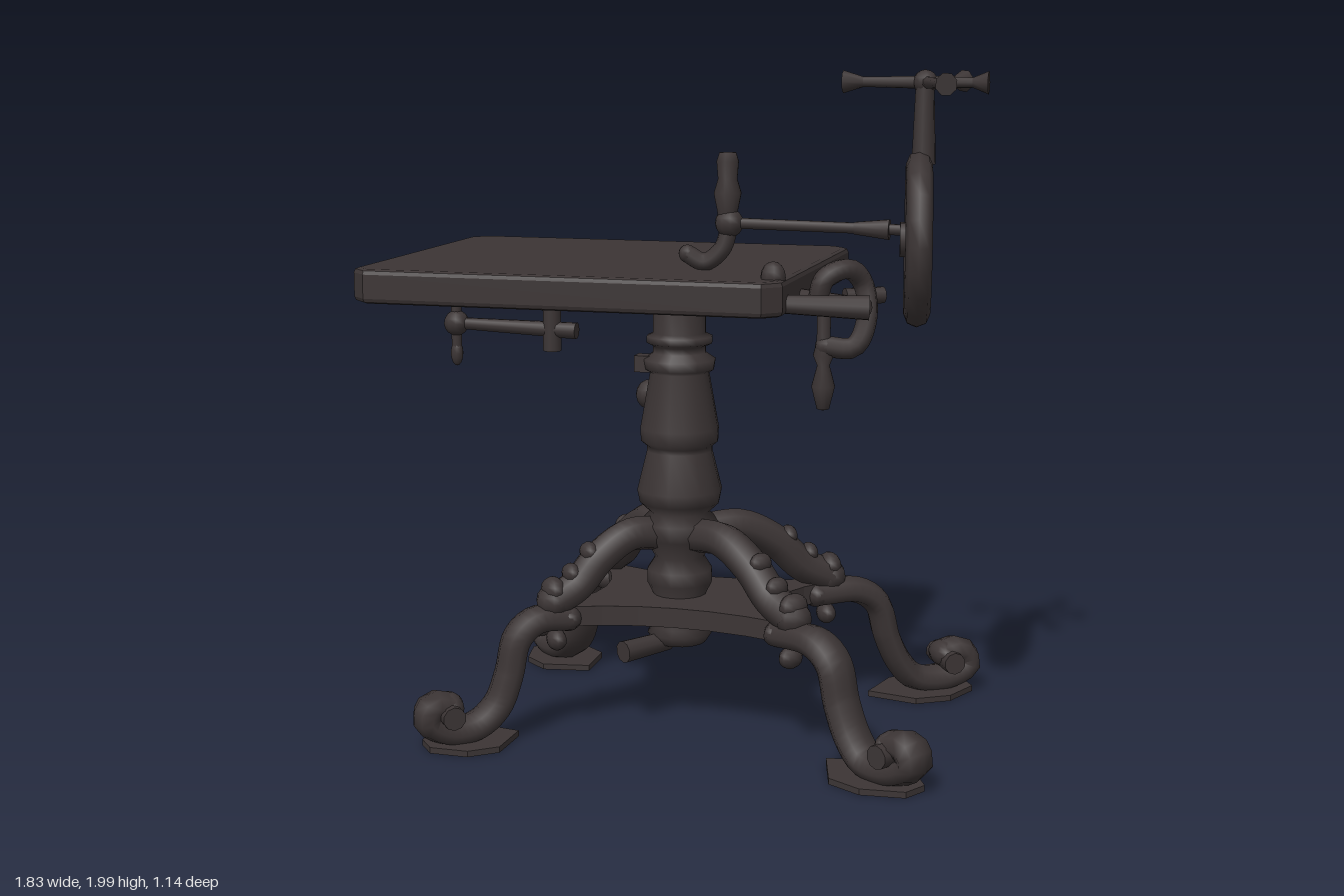
import * as THREE from 'three';

const iron = new THREE.MeshStandardMaterial({ color: 0x3c3535 });
iron.name = 'dark iron';

const V = (p) => new THREE.Vector3(p[0], p[1], p[2] || 0);

function add(parent, name, geometry, pos = [0, 0, 0]) {
  const m = new THREE.Mesh(geometry, iron);
  m.name = name;
  m.position.set(...pos);
  parent.add(m);
  return m;
}
const ball = (g, name, pos, r, s = [1, 1, 1]) => {
  const m = add(g, name, new THREE.SphereGeometry(r, 10, 8), pos);
  m.scale.set(...s);
  return m;
};
// Round bar between two points, r1 at a and r2 at b
function bar(g, name, a, b, r1, r2 = r1, sides = 10) {
  const A = V(a), B = V(b), d = B.clone().sub(A);
  const m = add(g, name, new THREE.CylinderGeometry(r2, r1, d.length(), sides));
  m.position.copy(A).add(B).multiplyScalar(0.5);
  m.quaternion.setFromUnitVectors(new THREE.Vector3(0, 1, 0), d.normalize());
  return m;
}
// Curved bar with rounded ends
function tube(g, name, pts, r, segs = 20) {
  const curve = new THREE.CatmullRomCurve3(pts.map(V));
  const group = new THREE.Group();
  group.name = name;
  add(group, name + 'Bar', new THREE.TubeGeometry(curve, segs, r, 8));
  ball(group, name + 'Start', pts[0], r);
  ball(group, name + 'End', pts[pts.length - 1], r);
  g.add(group);
  return group;
}
function lathe(g, name, profile, pos) {
  const pts = profile.map(([r, y]) => new THREE.Vector2(r, y));
  return add(g, name, new THREE.LatheGeometry(pts, 16), pos);
}

const HUB = [-0.03, 0, 0.01];

// One sprawling leg, built along local +x and turned towards its foot
function addLeg(root, name, ex, ez, knee) {
  const g = new THREE.Group();
  g.name = name;
  const dx = ex - HUB[0], dz = ez - HUB[2], L = Math.hypot(dx, dz);
  g.position.set(...HUB);
  g.rotation.y = Math.atan2(-dz, dx);
  root.add(g);
  const at = (list) => list.map(([t, y]) => [t * L, y]);

  const shin = tube(g, 'shin', at([[0.45, 0.367], [0.56 + knee, 0.367], [0.63 + knee, 0.32], [0.665 + knee, 0.21],
    [0.71 + knee, 0.12], [0.8, 0.066], [0.91, 0.06], [0.985, 0.1], [0.96, 0.145], [0.9, 0.135]]), 0.042, 36);
  shin.scale.z = 1.55;
  bar(g, 'footScroll', [0.91 * L, 0.12, -0.08], [0.91 * L, 0.12, 0.08], 0.035);

  // thin pad under the foot
  const pad = new THREE.Shape([[0.64, 0], [0.76, 0.115], [0.88, 0.115], [0.99, 0.04], [0.99, -0.04],
    [0.88, -0.115], [0.76, -0.115]].map(([t, z]) => new THREE.Vector2(t * L, z)));
  const padGeo = new THREE.ExtrudeGeometry(pad, { depth: 0.018, bevelEnabled: false });
  padGeo.rotateX(-Math.PI / 2);
  add(g, 'footPad', padGeo, [0, 0.012, 0]);

  // upper scrollwork brace
  const brace = tube(g, 'brace', at([[0.07, 0.595], [0.2, 0.6], [0.32, 0.54], [0.41, 0.46], [0.5, 0.42]]), 0.052);
  brace.scale.z = 1.1;
  for (const [t, y, r] of [[0.36, 0.56, 0.028], [0.43, 0.5, 0.028], [0.5, 0.455, 0.036], [0.49, 0.3, 0.03]])
    ball(g, 'leafKnob', [t * L, y, 0], r, [1, 1.1, 1.4]);
}

// Wheel lying in the local yz plane, axle along x
function addWheel(root) {
  const g = new THREE.Group();
  g.name = 'spokedWheel';
  g.position.set(0.72, 1.53, 0.21);
  g.rotation.y = 0.18;
  root.add(g);
  const rim = add(g, 'wheelRim', new THREE.TorusGeometry(0.211, 0.037, 8, 20));
  rim.rotation.y = Math.PI / 2;
  bar(g, 'wheelHub', [-0.05, 0, 0], [0.04, 0, 0], 0.05, 0.045);
  for (let i = 0; i < 8; i++) {
    const a = i * Math.PI / 4, c = Math.cos(a), s = Math.sin(a);
    bar(g, 'wheelSpoke', [0, 0.03 * c, 0.03 * s], [0, 0.2 * c, 0.2 * s], 0.018, 0.026, 8);
  }
}

export function createModel() {
  const root = new THREE.Group();
  root.name = 'tiltingTable';

  // Table top with cut corners
  const x0 = -0.87, x1 = 0.375, z0 = -0.49, z1 = 0.49, c = 0.04;
  const outline = new THREE.Shape([[x0 + c, z0], [x1 - c, z0], [x1, z0 + c], [x1, z1 - c],
    [x1 - c, z1], [x0 + c, z1], [x0, z1 - c], [x0, z0 + c]].map((p) => new THREE.Vector2(...p)));
  const topGeo = new THREE.ExtrudeGeometry(outline,
    { depth: 0.07, bevelThickness: 0.015, bevelSize: 0.015, bevelSegments: 2 });
  topGeo.rotateX(-Math.PI / 2);
  add(root, 'tableTop', topGeo, [0, 1.345, 0]);
  bar(root, 'edgeKnob', [-0.87, 1.38, 0.25], [-0.92, 1.38, 0.25], 0.02, 0.028).scale.z = 1.1;

  // Turned column
  lathe(root, 'column', [[0, 0.25], [0.08, 0.25], [0.1, 0.28], [0.085, 0.3], [0.08, 0.4], [0.1, 0.44], [0.1, 0.48],
    [0.075, 0.52], [0.11, 0.58], [0.12, 0.63], [0.09, 0.66], [0.122, 0.69], [0.13, 0.73], [0.1, 0.85],
    [0.1, 0.865], [0.118, 0.88], [0.12, 0.92], [0.09, 1.09], [0.105, 1.1], [0.11, 1.13], [0.08, 1.15],
    [0.08, 1.17], [0.1, 1.18], [0.1, 1.2], [0.08, 1.21], [0.08, 1.345]], HUB);
  bar(root, 'clampStem', [-0.08, 0.98, -0.08], [-0.17, 0.98, -0.17], 0.025);
  ball(root, 'clampKnob', [-0.18, 0.98, -0.185], 0.048);
  add(root, 'collarTab', new THREE.BoxGeometry(0.06, 0.05, 0.05), [-0.13, 1.115, 0.03]);
  bar(root, 'lowerLock', [-0.06, 0.255, 0.04], [-0.16, 0.25, 0.18], 0.03, 0.034);

  // Wedge bracket under the top
  const wedge = new THREE.Shape([[-0.03, 1.27], [0.09, 1.275], [0.27, 1.31], [0.27, 1.345], [-0.03, 1.345]]
    .map((p) => new THREE.Vector2(...p)));
  add(root, 'topBracket', new THREE.ExtrudeGeometry(wedge, { depth: 0.16, bevelEnabled: false }), [0, 0, -0.08]);

  // Star plate with hollow sides, its points meeting the legs
  const feet = [[0.8, 0.51], [0.8, -0.5], [-0.67, -0.52], [-0.67, 0.53]];
  const star = new THREE.Shape();
  const points = feet.map(([x, z]) => [HUB[0] + (x - HUB[0]) * 0.6, -z * 0.6]);
  star.moveTo(...points[0]);
  for (let i = 1; i <= 4; i++) {
    const [ax, ay] = points[i - 1], [bx, by] = points[i % 4];
    star.quadraticCurveTo((ax + bx) * 0.12 + HUB[0] * 0.8, (ay + by) * 0.12, bx, by);
  }
  const starGeo = new THREE.ExtrudeGeometry(star, { depth: 0.06, bevelEnabled: false, curveSegments: 8 });
  starGeo.rotateX(-Math.PI / 2);
  add(root, 'starPlate', starGeo, [0, 0.343, 0]);
  ['frontLeftLeg', 'backLeftLeg', 'backRightLeg', 'frontRightLeg']
    .forEach((name, i) => addLeg(root, name, ...feet[i], i < 2 ? 0.035 : 0.01));

  // Swing arm and spindle below the top
  const az = -0.03;
  bar(root, 'armBlock', [-0.45, 1.13, az], [-0.45, 1.35, az], 0.028);
  bar(root, 'swingArm', [-0.77, 1.205, az], [-0.37, 1.195, az], 0.018, 0.026);
  bar(root, 'armSpindle', [-0.765, 1.1, az], [-0.765, 1.35, az], 0.016);
  ball(root, 'armCollar', [-0.765, 1.205, az], 0.04);
  ball(root, 'spindleTip', [-0.765, 1.11, az], 0.02, [1, 2, 1]);

  // Wheel, post and four-armed handle
  addWheel(root);
  bar(root, 'handlePost', [0.73, 1.74, 0.2], [0.73, 1.96, 0.2], 0.034, 0.026);
  ball(root, 'handleHub', [0.73, 1.965, 0.195], 0.035);
  for (const [x, z] of [[0.5, 0.2], [0.905, 0.19], [0.815, 0.035], [0.815, 0.37]]) {
    const mid = [0.73 + (x - 0.73) * 0.75, 1.965, 0.195 + (z - 0.195) * 0.75];
    bar(root, 'handleArm', [0.73, 1.965, 0.195], mid, 0.018, 0.014, 8);
    bar(root, 'handleTip', mid, [x, 1.965, z], 0.014, 0.032, 8);
  }

  // Long rod with its upright grip and curved toe
  bar(root, 'longRod', [0.18, 1.565, 0.23], [0.72, 1.555, 0.21], 0.016);
  bar(root, 'rodCollar', [0.54, 1.558, 0.215], [0.64, 1.556, 0.212], 0.018, 0.03);
  ball(root, 'rodJoint', [0.18, 1.565, 0.23], 0.042);
  lathe(root, 'uprightGrip', [[0.025, 1.55], [0.03, 1.6], [0.04, 1.65], [0.028, 1.69], [0.032, 1.74],
    [0.024, 1.765], [0, 1.765]], [0.175, 0, 0.23]);
  tube(root, 'curvedToe', [[0.18, 1.55, 0.23], [0.16, 1.49, 0.235], [0.11, 1.452, 0.24], [0.06, 1.475, 0.245]], 0.026);

  // Edge clamp with hooked frame and hanging handle
  tube(root, 'clampFrame', [[0.45, 1.35, 0.28], [0.47, 1.42, 0.28], [0.53, 1.445, 0.24], [0.565, 1.4, 0.2],
    [0.58, 1.3, 0.22], [0.55, 1.225, 0.25], [0.47, 1.225, 0.26]], 0.03, 28);
  bar(root, 'clampArm', [0.34, 1.36, 0.4], [0.61, 1.35, 0.34], 0.025, 0.035);
  bar(root, 'clampLink', [0.36, 1.355, 0.2], [0.6, 1.35, 0.34], 0.028);
  bar(root, 'clampStub', [0.51, 1.36, 0.19], [0.61, 1.36, 0.125], 0.024);
  ball(root, 'clampBall', [0.35, 1.435, 0.4], 0.036, [1, 1.2, 1]);
  lathe(root, 'hangingHandle', [[0, 1.04], [0.018, 1.045], [0.034, 1.11], [0.018, 1.17], [0.03, 1.2],
    [0.02, 1.24], [0.02, 1.36]], [0.465, 0, 0.26]);
  return root;
}
